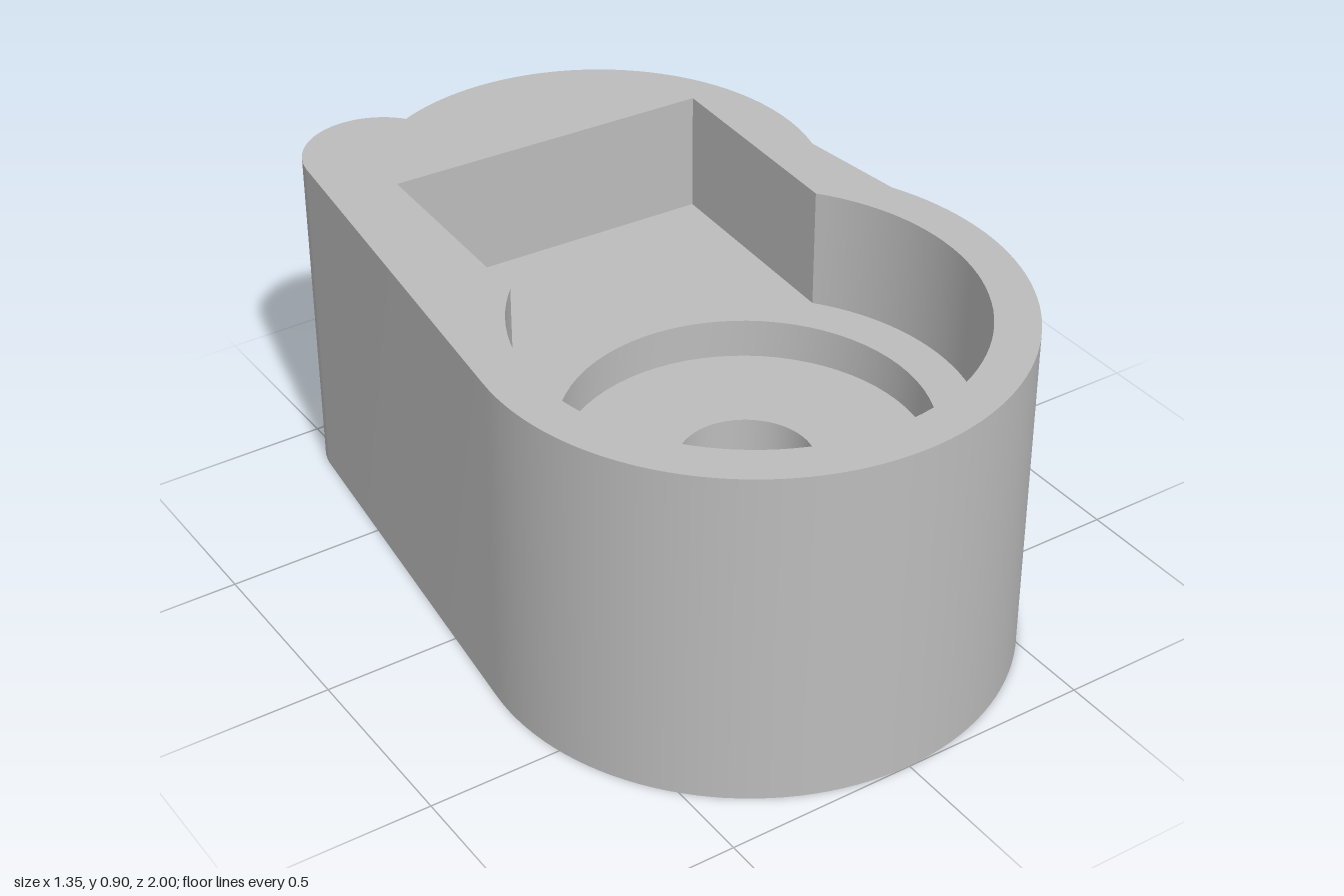
import * as THREE from 'three';
import { toCreasedNormals } from 'three/addons/utils/BufferGeometryUtils.js';

// Plan coordinates are (x, v) with v = -z; all loops run counter-clockwise seen from above.
const rad = THREE.MathUtils.degToRad;

function loopOf(path, divisions) {
  const pts = path.getPoints(divisions);
  if (pts[0].distanceTo(pts[pts.length - 1]) < 1e-4) pts.pop();
  return pts;
}

function circle(x, v, r) {
  return loopOf(new THREE.Path().absarc(x, v, r, 0, Math.PI * 2, false), 36);
}

// Wall between two loops; faces outward, or inward for holes
function wall(lower, y0, upper, y1, inward = false) {
  const pos = [];
  const n = lower.length;
  const add = (p, y) => pos.push(p.x, y, -p.y);
  for (let i = 0; i < n; i++) {
    const j = (i + 1) % n;
    const [a, b] = inward ? [j, i] : [i, j];
    add(lower[a], y0); add(lower[b], y0); add(upper[b], y1);
    add(lower[a], y0); add(upper[b], y1); add(upper[a], y1);
  }
  const geo = new THREE.BufferGeometry();
  geo.setAttribute('position', new THREE.Float32BufferAttribute(pos, 3));
  return toCreasedNormals(geo, rad(25));
}

// Flat face with holes, facing up or down
function face(outer, holes, y, up = true) {
  const shape = new THREE.Shape(outer);
  shape.holes = holes.map((h) => new THREE.Path(h));
  const geo = new THREE.ShapeGeometry(shape);
  geo.rotateX(-Math.PI / 2).translate(0, y, 0);
  if (!up) {
    geo.index.array.reverse();
    geo.computeVertexNormals();
  }
  return geo;
}

export function createModel() {
  const grey = new THREE.MeshStandardMaterial({ color: 0xbcbcbc });
  grey.name = 'grey';
  const group = new THREE.Group();
  group.name = 'housing';
  const add = (name, geo) => {
    const mesh = new THREE.Mesh(geo, grey);
    mesh.name = name;
    group.add(mesh);
  };

  const top = 0.905, floor = 0.585, seat = 0.48;
  const sinkTop = 0.14, boreTop = 0.147;
  const cv = -0.322; // centre of the large round end

  // Outer outline: large round end, small round end, corner lobe, tangent side
  const outline = loopOf(new THREE.Path()
    .absarc(0, cv, 0.677, rad(173.4), rad(383.5), false)
    .absarc(0.03, 0.4, 0.58, rad(-16), rad(114), false)
    .absarc(-0.36, 0.81, 0.19, rad(37.5), rad(173.4), false), 36);

  // Pocket outline: round well joined to a slightly skewed rectangle
  const pocket = loopOf(new THREE.Path()
    .absarc(0, cv, 0.567, rad(137.1), rad(398.2), false)
    .lineTo(0.47, 0.61)
    .lineTo(-0.395, 0.645), 40);

  const recess = circle(0, cv, 0.455);
  const shaft = circle(0, cv, 0.168);
  const sink = circle(0, cv, 0.325);
  const bolt = circle(0.03, 0.417, 0.11);
  const bore = circle(0.03, 0.417, 0.209);

  // Body shell
  add('outerWall', wall(outline, 0, outline, top));
  add('topRim', face(outline, [pocket], top));
  add('underside', face(outline, [sink, bore], 0, false));

  // Pocket and circular recess
  add('pocketWall', wall(pocket, floor, pocket, top, true));
  add('pocketFloor', face(pocket, [recess, bolt], floor));
  add('recessWall', wall(recess, seat, recess, floor, true));
  add('recessFloor', face(recess, [shaft], seat));

  // Large hole with conical countersink below
  add('shaftHole', wall(shaft, sinkTop, shaft, seat, true));
  add('countersink', wall(sink, 0, shaft, sinkTop, true));

  // Small hole with counterbore below
  add('boltHole', wall(bolt, boreTop, bolt, floor, true));
  add('counterboreWall', wall(bore, 0, bore, boreTop, true));
  add('counterboreCeiling', face(bore, [bolt], boreTop, false));

  return group;
}
